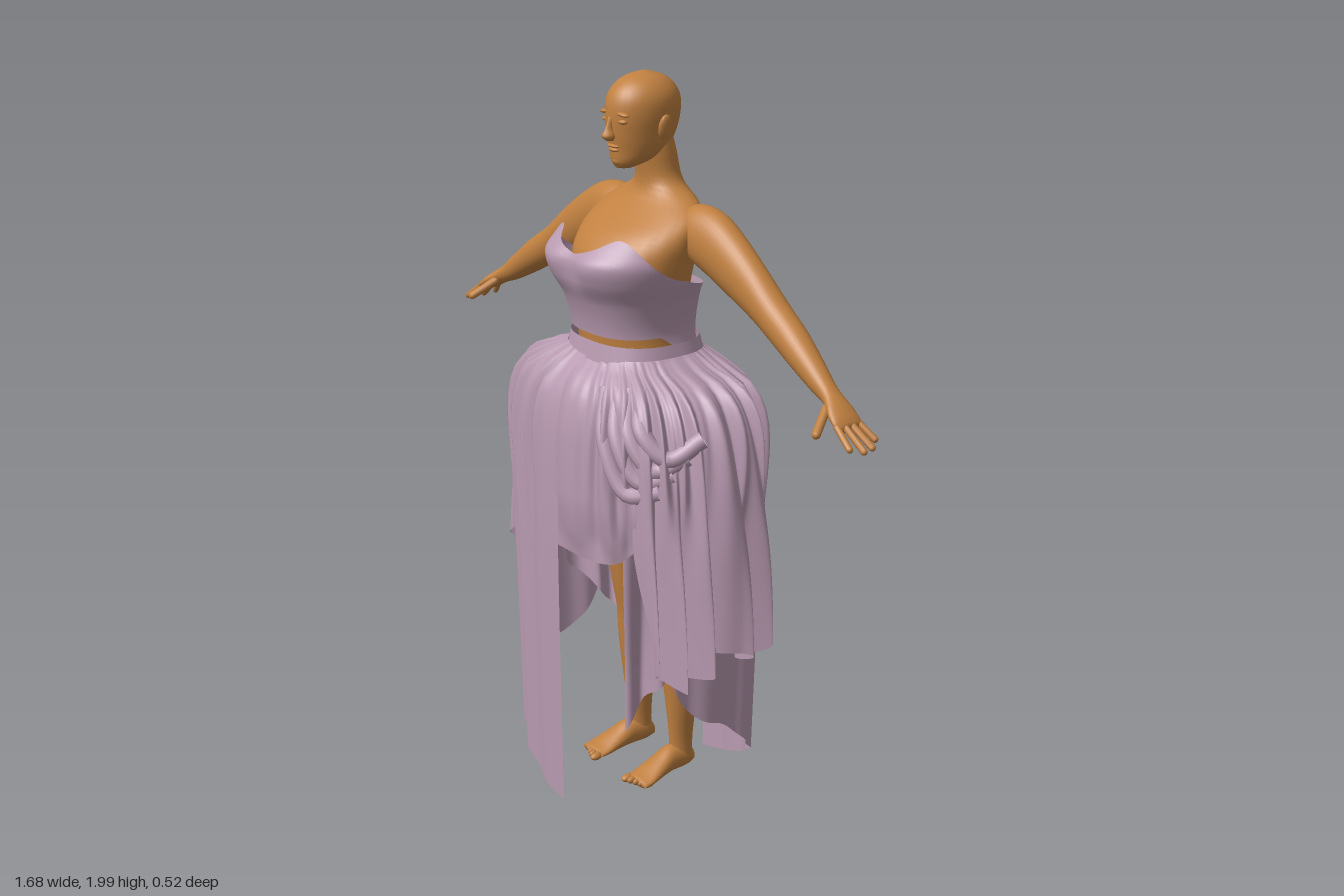
import * as THREE from 'three';
import { mergeVertices } from 'three/addons/utils/BufferGeometryUtils.js';

const skin = new THREE.MeshStandardMaterial({ color: 0xc08040 });
const cloth = new THREE.MeshStandardMaterial({ color: 0xb89ab0, side: THREE.DoubleSide });
const { sin, cos, abs, sign, max, min, PI } = Math;
const { clamp, lerp, degToRad } = THREE.MathUtils;
const smooth = (a, b, v) => THREE.MathUtils.smoothstep(v, a, b);

// Smooth interpolation of table rows [s, ...values], s ascending
function sample(rows, s) {
  const n = rows.length;
  let i = 0;
  while (i < n - 2 && s > rows[i + 1][0]) i++;
  const p = rows[i], q = rows[i + 1], h = q[0] - p[0], t = clamp((s - p[0]) / h, 0, 1);
  const o = rows[max(i - 1, 0)], r = rows[min(i + 2, n - 1)], t2 = t * t, t3 = t2 * t;
  return p.slice(1).map((a, k) => {
    const b = q[k + 1], m0 = (b - o[k + 1]) / (q[0] - o[0]) * h, m1 = (r[k + 1] - a) / (r[0] - p[0]) * h;
    return a * (2 * t3 - 3 * t2 + 1) + m0 * (t3 - 2 * t2 + t) + b * (3 * t2 - 2 * t3) + m1 * (t3 - t2);
  });
}

// Surface from a point rule over a grid
function surface(nu, nv, point, flip) {
  const pos = [], idx = [];
  for (let i = 0; i <= nu; i++) for (let j = 0; j <= nv; j++) pos.push(...point(i, j));
  for (let i = 0; i < nu; i++) for (let j = 0; j < nv; j++) {
    const a = i * (nv + 1) + j, b = a + nv + 1;
    idx.push(...(flip ? [a, b + 1, b, a, a + 1, b + 1] : [a, b, b + 1, a, b + 1, a + 1]));
  }
  const g = new THREE.BufferGeometry().setIndex(idx);
  g.setAttribute('position', new THREE.Float32BufferAttribute(pos, 3));
  const merged = mergeVertices(g, 1e-5);
  merged.computeVertexNormals();
  return merged;
}

function add(parent, name, geometry, material = skin) {
  const m = geometry ? new THREE.Mesh(geometry, material) : new THREE.Group();
  m.name = name;
  parent.add(m);
  return m;
}

// Closed body form: rows [s, centreA, centreB, radiusA, radiusB], mapped to axes
function loft(rows, map, flip = false, n = 40, seg = 32) {
  return surface(n + 2, seg, (i, j) => {
    const s = lerp(rows[0][0], rows.at(-1)[0], clamp((i - 1) / n, 0, 1));
    const [a, b, ra, rb] = sample(rows, s);
    const k = i === 0 || i === n + 2 ? 0 : 1, t = (j % seg) / seg * 2 * PI;
    return map(s, a + k * ra * cos(t), b + k * rb * sin(t));
  }, flip);
}
const upright = (y, x, z) => [x, y, z];

function blob(parent, name, p, r, tilt = 0) {
  const m = add(parent, name, new THREE.SphereGeometry(1, 16, 10));
  m.position.set(...p);
  m.scale.set(...r);
  m.rotation.z = tilt;
}

function finger(parent, name, a, b, r) {
  const A = new THREE.Vector3(...a), B = new THREE.Vector3(...b), d = B.clone().sub(A);
  const m = add(parent, name, new THREE.CapsuleGeometry(r, d.length(), 4, 10));
  m.position.copy(A).lerp(B, 0.5);
  m.quaternion.setFromUnitVectors(new THREE.Vector3(0, 1, 0), d.normalize());
}

// Cloth around the body: angle in degrees from the front towards +x
const sheet = (from, to, top, hem, place, nu = 32, nv = 110) => surface(nu, nv, (i, j) => {
  const deg = lerp(from, to, j / nv), y = lerp(top(deg), hem(deg), i / nu);
  const [x, z] = place(degToRad(deg), y);
  return [x, y, z];
});
const oval = (f, rx, rz, e = 0.8) => [rx * sign(sin(f)) * abs(sin(f)) ** e, rz * sign(cos(f)) * abs(cos(f)) ** e];

function buildHead(model) {
  const head = add(model, 'head');
  add(head, 'skull', loft([
    [1.765, 0, 0.035, 0.022, 0.022], [1.78, 0, 0.014, 0.044, 0.052], [1.81, 0, -0.01, 0.062, 0.08],
    [1.85, 0, -0.02, 0.073, 0.096], [1.9, 0, -0.024, 0.082, 0.103], [1.94, 0, -0.026, 0.08, 0.098],
    [1.97, 0, -0.027, 0.064, 0.078], [1.99, 0, -0.028, 0.038, 0.046], [2, 0, -0.028, 0.006, 0.007]], upright));
  add(head, 'nose', loft([[1.836, 0, 0.078, 0.009, 0.01], [1.846, 0, 0.082, 0.016, 0.02],
    [1.865, 0, 0.077, 0.009, 0.016], [1.895, 0, 0.072, 0.007, 0.01]], upright, false, 12, 14));
  blob(head, 'upperLip', [0, 1.822, 0.067], [0.024, 0.005, 0.012]);
  blob(head, 'lowerLip', [0, 1.812, 0.065], [0.02, 0.006, 0.012]);
  blob(head, 'chin', [0, 1.785, 0.05], [0.025, 0.017, 0.018]);
  for (const s of [1, -1]) {
    blob(head, 'eye', [s * 0.032, 1.885, 0.062], [0.016, 0.007, 0.012]);
    blob(head, 'brow', [s * 0.033, 1.904, 0.064], [0.024, 0.006, 0.012], -s * 0.12);
    blob(head, 'ear', [s * 0.083, 1.87, -0.03], [0.01, 0.032, 0.019], -s * 0.2);
  }
}

function buildLimbs(model, s, side) {
  // Arm running into the palm
  const arm = add(model, side + 'Arm');
  add(arm, 'armAndPalm', loft([
    [0.1, 1.62, -0.08, 0.045, 0.045], [0.17, 1.608, -0.08, 0.075, 0.06], [0.24, 1.588, -0.08, 0.085, 0.058],
    [0.32, 1.55, -0.077, 0.08, 0.052], [0.4, 1.505, -0.074, 0.068, 0.046], [0.48, 1.452, -0.072, 0.056, 0.044],
    [0.56, 1.405, -0.066, 0.05, 0.041], [0.64, 1.355, -0.058, 0.038, 0.032], [0.69, 1.325, -0.052, 0.026, 0.027],
    [0.74, 1.295, -0.042, 0.021, 0.041], [0.772, 1.274, -0.039, 0.012, 0.041]], (x, y, z) => [s * x, y, z], s > 0));
  for (const [z0, z1, x, y] of [[-0.072, -0.088, 0.805, 1.243], [-0.05, -0.06, 0.826, 1.234],
    [-0.028, -0.03, 0.83, 1.232], [-0.006, 0.002, 0.815, 1.24]])
    finger(arm, 'finger', [s * 0.762, 1.278, z0], [s * x, y, z1], 0.0085);
  finger(arm, 'thumb', [s * 0.705, 1.305, -0.025], [s * 0.738, 1.262, 0.036], 0.011);

  // Leg and bare foot
  const leg = add(model, side + 'Leg');
  add(leg, 'legShape', loft([
    [0.06, 0.095, -0.09, 0.031, 0.036], [0.13, 0.095, -0.09, 0.028, 0.036], [0.25, 0.097, -0.088, 0.04, 0.046],
    [0.38, 0.095, -0.085, 0.055, 0.058], [0.48, 0.094, -0.072, 0.05, 0.054], [0.56, 0.095, -0.06, 0.052, 0.056],
    [0.75, 0.104, -0.05, 0.068, 0.075], [0.95, 0.105, -0.03, 0.086, 0.098], [1.15, 0.09, -0.01, 0.088, 0.105]],
    (y, x, z) => [s * x, y, z], s < 0));
  add(leg, 'foot', loft([
    [-0.13, 0.066, 0.092, 0.02, 0.018], [-0.1, 0.077, 0.094, 0.036, 0.03], [-0.05, 0.08, 0.096, 0.039, 0.032],
    [0, 0.068, 0.1, 0.028, 0.038], [0.05, 0.055, 0.104, 0.016, 0.044], [0.075, 0.052, 0.105, 0.011, 0.042]],
    (z, y, x) => [s * x, y, z], s < 0, 24, 24));
  [0.074, 0.091, 0.107, 0.122, 0.136].forEach((x, i) =>
    blob(leg, 'toe', [s * x, 0.052, 0.083 - i * 0.007], [i ? 0.008 : 0.012, 0.011, 0.02]));
}

// Skirt half: a long panel, a short swag and a ruffled side cascade
const panelShape = [[0, 0.335, 0.25], [0.24, 0.34, 0.252], [0.6, 0.35, 0.255], [0.9, 0.365, 0.255],
  [1.1, 0.365, 0.248], [1.2, 0.335, 0.228], [1.25, 0.28, 0.2], [1.28, 0.2, 0.162], [1.3, 0.176, 0.15]];
const cascadeShape = [[0.4, 0.435, 0.262], [0.7, 0.425, 0.262], [0.9, 0.415, 0.262], [1.1, 0.39, 0.255],
  [1.2, 0.35, 0.235], [1.25, 0.29, 0.205], [1.28, 0.2, 0.165], [1.3, 0.178, 0.152]];
const panelHem = [[62, 0.52], [75, 0.4], [90, 0.32], [110, 0.225], [140, 0.12], [180, 0.01]];
const swagHem = [[-4, 0.77], [25, 0.78], [42, 0.83], [60, 0.92], [85, 0.95]];
const cascadeHem = [[38, 0.86], [44, 0.62], [52, 0.5], [70, 0.5], [86, 0.56], [100, 0.52], [112, 0.6]];
const foldHem = [[34, 0.27], [50, 0.37], [75, 0.47], [100, 0.6]];
const gathers = (f, y) =>
  0.035 * (sin(34 * f) + 0.6 * sin(53 * f + 1)) * smooth(0.75, 1.2, y) * (1 - smooth(1.25, 1.3, y));

function buildSkirtHalf(model, half) {
  const skirt = add(model, half ? 'skirtHalfRight' : 'skirtHalfLeft');
  skirt.rotation.y = half * PI;
  const waist = () => 1.3;
  add(skirt, 'longPanel', sheet(62, 180, waist, (d) => sample(panelHem, d)[0], (f, y) => {
    const [rx, rz] = sample(panelShape, y);
    const k = 1 + gathers(f, y) + 0.018 * sin(17 * f) * (1 - smooth(1.15, 1.28, y));
    return oval(f, rx * k, rz * k, 0.7);
  }), cloth);
  add(skirt, 'shortSwag', sheet(-4, 85, waist, (d) => sample(swagHem, d)[0], (f, y) => {
    const [rx, rz] = sample(panelShape, y);
    const drape = 0.035 * sin(15 * f + 26 * (y - 0.8) * smooth(0.1, 0.9, f)) * smooth(0.76, 0.85, y) * (1 - smooth(1.2, 1.29, y));
    const k = 1 + gathers(f, y) * 0.7 + drape - 0.08 * (1 - smooth(0.75, 0.95, y));
    return oval(f, rx * k, rz * k, 0.75);
  }), cloth);
  // The right cascade flares out further than the left
  add(skirt, 'sideCascade', sheet(38, 112, waist, (d) => sample(cascadeHem, d)[0] + half * 0.09, (f, y) => {
    const [rx, rz] = sample(cascadeShape, y), low = 1 - smooth(0.6, 1.25, y);
    const flare = half * 0.2 * low * Math.exp(-(((f - 1) / 0.25) ** 2));
    const k = 1 + gathers(f, y) + flare + (0.085 * sin(24 * f + 2 * y) - 0.03) * low;
    return oval(f + 0.06 * cos(24 * f) * low, rx * k, rz * k, 0.72);
  }, 32, 150), cloth);
  add(skirt, 'innerFold', sheet(34, 100, () => 0.98, (d) => sample(foldHem, d)[0], (f, y) => {
    const k = 0.72 + 0.06 * sin(13 * f) + 0.18 * smooth(0.4, 0.95, y);
    return oval(f, 0.36 * k, 0.25 * k);
  }, 20, 60), cloth);
  // Puckered loops where the swag is caught up at the hip
  for (const d of [0, 0.05, 0.1, 0.15]) {
    const path = [[0.12 + d * 0.6, 1.24, 0.18 - d * 0.3], [0.17 + d * 0.7, 1.12 + d * 0.3, 0.225 - d * 0.25],
      [0.25 + d * 0.6, 1 + d * 0.7, 0.215 - d * 0.4], [0.33 + d * 0.35, 1.02 + d * 0.9, 0.17 - d * 0.6]];
    const curve = new THREE.CatmullRomCurve3(path.map((p) => new THREE.Vector3(...p)));
    add(skirt, 'caughtLoop', new THREE.TubeGeometry(curve, 24, 0.022, 10), cloth);
  }
}

export function createModel() {
  const model = new THREE.Group();
  add(model, 'torsoAndNeck', loft([
    [1.02, 0, -0.01, 0.16, 0.11], [1.15, 0, 0, 0.185, 0.135], [1.27, 0, 0.008, 0.16, 0.13],
    [1.34, 0, 0.01, 0.15, 0.135], [1.45, 0, 0.01, 0.163, 0.138], [1.54, 0, 0.005, 0.18, 0.145],
    [1.6, 0, -0.02, 0.19, 0.125], [1.65, 0, -0.055, 0.18, 0.088], [1.685, 0, -0.075, 0.135, 0.066],
    [1.71, 0, -0.077, 0.086, 0.058], [1.74, 0, -0.073, 0.066, 0.054], [1.8, 0, -0.062, 0.06, 0.053],
    [1.85, 0, -0.05, 0.055, 0.05]], upright, false, 60));
  buildHead(model);
  buildLimbs(model, 1, 'left');
  buildLimbs(model, -1, 'right');

  // Strapless bodice with a sweetheart neckline
  const bodiceShape = [[1.29, 0.168, 0.15, 0.138], [1.36, 0.157, 0.155, 0.14], [1.44, 0.172, 0.178, 0.145],
    [1.5, 0.196, 0.212, 0.15], [1.55, 0.207, 0.222, 0.15], [1.585, 0.2, 0.19, 0.15], [1.62, 0.19, 0.15, 0.15]];
  const neckline = [[0, 1.565], [15, 1.585], [34, 1.612], [60, 1.578], [90, 1.505], [130, 1.475], [180, 1.465]];
  add(model, 'bodice', sheet(-180, 180, (d) => sample(neckline, abs(d))[0],
    (d) => 1.302 + 0.05 * smooth(-0.2, 0.2, cos(degToRad(d))), (f, y) => {
      const [rx, front, back] = sample(bodiceShape, y);
      const [x, z] = oval(f, rx, cos(f) > 0 ? front : back);
      return [x, z > 0 ? z * (1 - 0.09 * Math.exp(-((x / 0.045) ** 2)) * smooth(1.44, 1.55, y)) : z];
    }), cloth);
  add(model, 'waistband', sheet(-180, 180, () => 1.332, () => 1.265,
    (f, y) => oval(f, 0.168 + (1.332 - y) * 0.25, 0.15 + (1.332 - y) * 0.2), 4, 80), cloth);
  for (const half of [0, 1]) buildSkirtHalf(model, half);
  return model;
}
